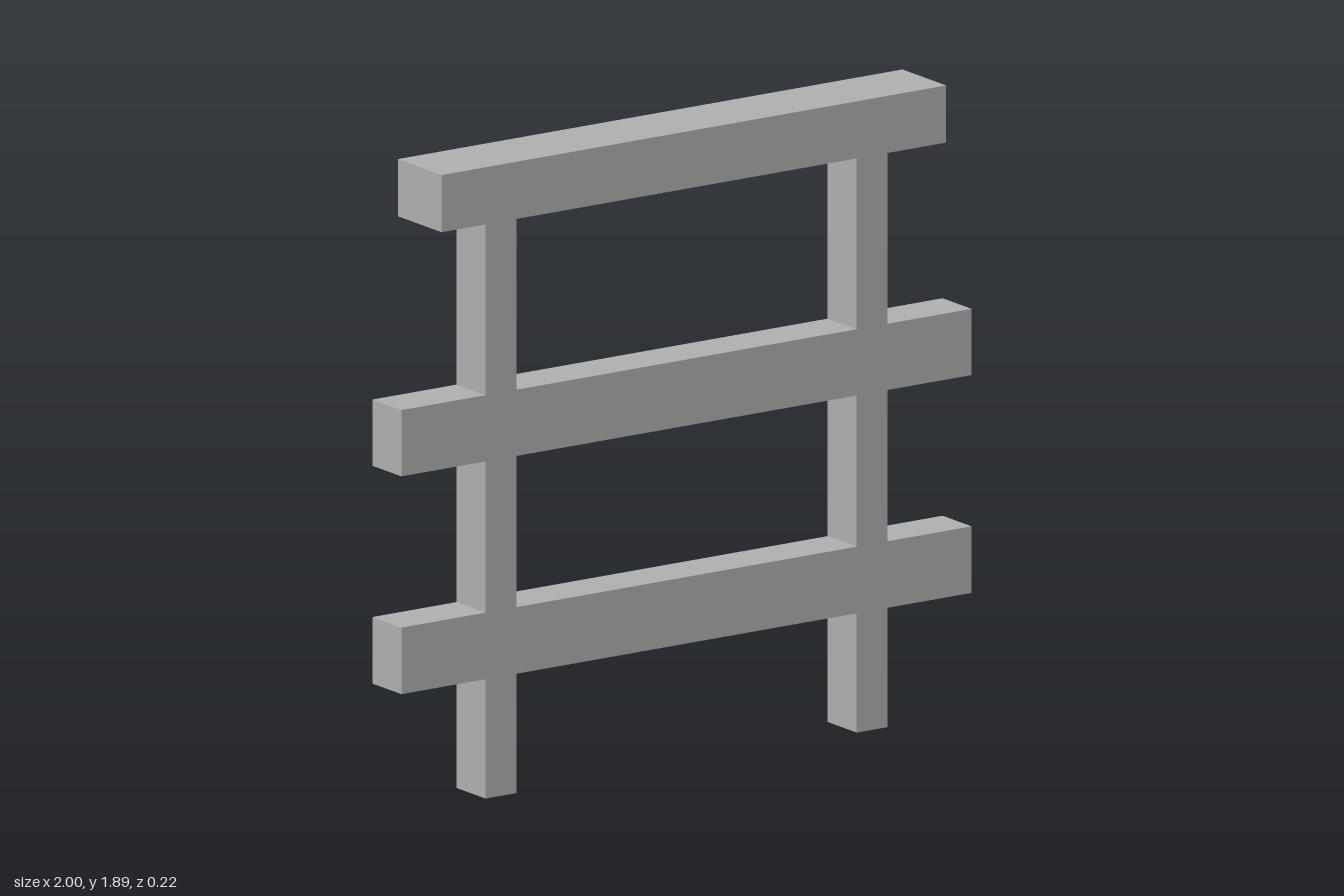
import * as THREE from 'three';

export function createModel() {
  const model = new THREE.Group();
  model.name = 'fence';
  const grey = new THREE.MeshStandardMaterial({ color: 0xb0b0b0 });
  grey.name = 'grey';

  const inner = 0.597, outer = 0.705, railEnd = 1, top = 1.72, depth = 0.146;
  const rails = [[0.355, 0.553], [1.003, 1.2]]; // bottom and top of each rail

  // Frame: two posts and two flush rails, cut as one outline
  const right = [[inner, rails[0][0]], [inner, 0], [outer, 0]];
  for (const [low, high] of rails) {
    right.push([outer, low], [railEnd, low], [railEnd, high], [outer, high]);
  }
  right.push([outer, top], [inner, top], [inner, rails[1][1]]);
  const left = right.map(([x, y]) => [-x, y]).reverse();
  const outline = new THREE.Shape([...right, ...left].map(([x, y]) => new THREE.Vector2(x, y)));

  // Opening between the rails
  const [low, high] = [rails[0][1], rails[1][0]];
  outline.holes.push(new THREE.Path([
    new THREE.Vector2(-inner, low), new THREE.Vector2(-inner, high),
    new THREE.Vector2(inner, high), new THREE.Vector2(inner, low),
  ]));

  const frameGeometry = new THREE.ExtrudeGeometry(outline, { depth, bevelEnabled: false });
  frameGeometry.translate(0, 0, -depth / 2);
  const frame = new THREE.Mesh(frameGeometry, grey);
  frame.name = 'postsAndRails';

  // Wider beam resting on the posts
  const beam = new THREE.Mesh(new THREE.BoxGeometry(1.77, 0.17, 0.22), grey);
  beam.name = 'topBeam';
  beam.position.y = top + 0.085;

  model.add(frame, beam);
  return model;
}
